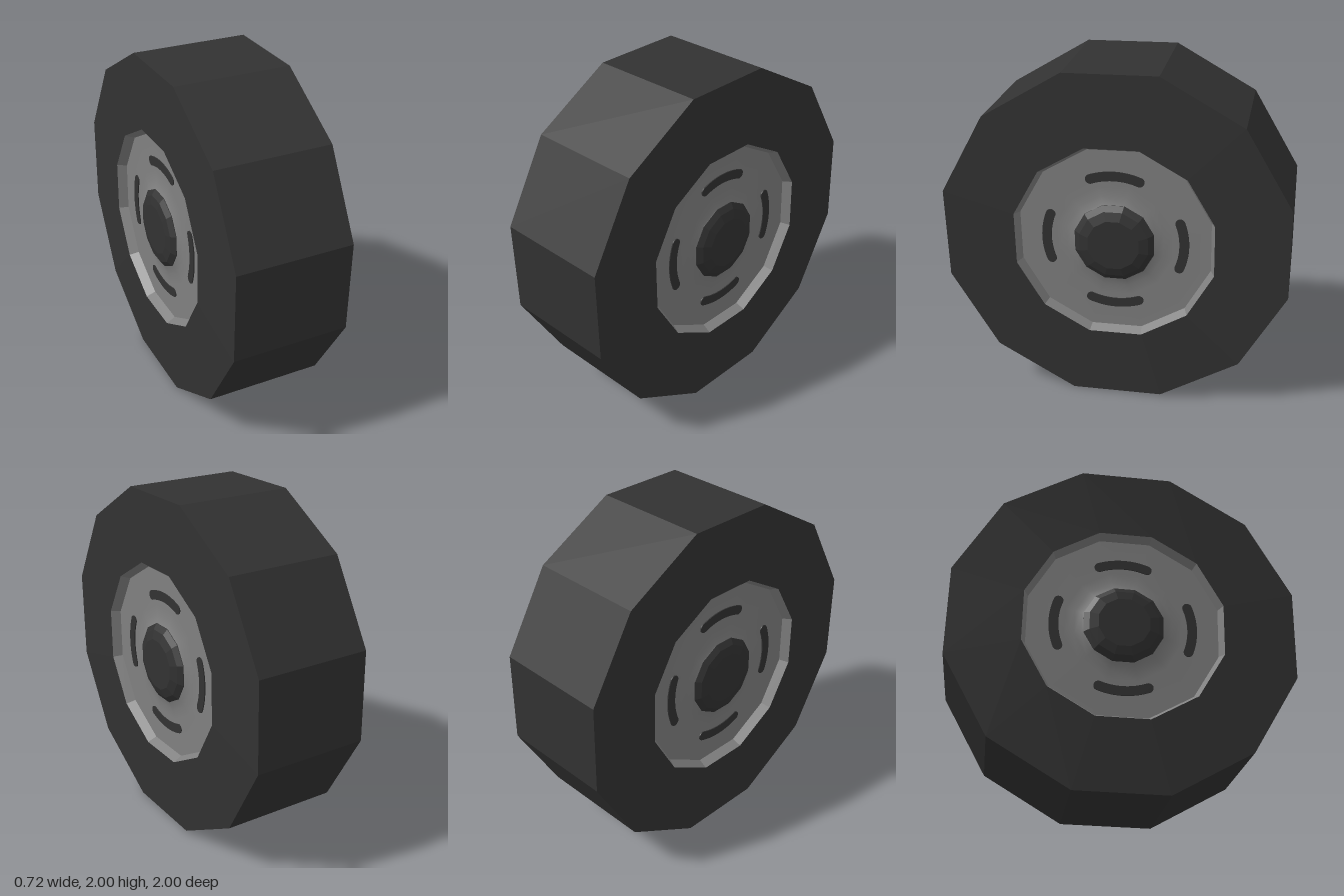
import * as THREE from 'three';

const SIDES = 12;

// Turn a profile of [radius, x] points around the x axis; phase is in degrees.
function turn(profile, phase, flat) {
  const pts = profile.map(([r, x]) => new THREE.Vector2(r, x));
  let g = new THREE.LatheGeometry(pts, SIDES, THREE.MathUtils.degToRad(phase), Math.PI * 2);
  g.rotateZ(-Math.PI / 2);
  if (flat) {
    g = g.toNonIndexed();
    g.computeVertexNormals();
  }
  return g;
}

// Curved slot with rounded ends, centred on the top of the wheel.
function slotShape() {
  const r = 0.4, h = 0.028, half = 0.36, mid = Math.PI / 2;
  const a = mid - half, b = mid + half;
  const s = new THREE.Shape();
  s.absarc(0, 0, r + h, a, b, false);
  s.absarc(r * Math.cos(b), r * Math.sin(b), h, b, b + Math.PI, false);
  s.absarc(0, 0, r - h, b, a, true);
  s.absarc(r * Math.cos(a), r * Math.sin(a), h, a + Math.PI, a + Math.PI * 2, false);
  return s;
}

export function createModel() {
  const rubber = new THREE.MeshStandardMaterial({ color: 0x323232 });
  rubber.name = 'darkRubber';
  const metal = new THREE.MeshStandardMaterial({ color: 0x808080 });
  metal.name = 'greyMetal';

  const wheel = new THREE.Group();
  wheel.name = 'wheel';
  wheel.position.set(-0.005, 1, 0);

  const add = (parent, name, geometry, material) => {
    const m = new THREE.Mesh(geometry, material);
    m.name = name;
    parent.add(m);
    return m;
  };

  // Tyre: flat tread with very slightly bulging walls
  add(wheel, 'tyre', turn([[0.597, -0.355], [1.03, -0.345], [1.03, 0.345], [0.597, 0.355]], 16, true), rubber);

  const slotGeometry = new THREE.ExtrudeGeometry(slotShape(), { depth: 0.008, bevelEnabled: false, curveSegments: 10 });
  slotGeometry.rotateY(Math.PI / 2);

  // Same rim on both faces; the phase keeps the corners in line with the tyre
  for (const [name, phase, turnY, cap] of [['leftRim', 16, 0, 0.363], ['rightRim', 14, Math.PI, 0.355]]) {
    const rim = new THREE.Group();
    rim.name = name;
    rim.rotation.y = turnY;
    wheel.add(rim);

    // Recessed lip and dished disc rising to the hub
    add(rim, 'rimLip', turn([[0.597, 0.355], [0.572, 0.3]], phase, true), metal);
    add(rim, 'rimDisc', turn([[0.572, 0.3], [0.35, 0.3], [0.29, 0.305], [0.25, 0.314], [0.225, 0.324]], phase, false), metal);

    // Hub with bevelled edge and flat cap
    add(rim, 'hub', turn([[0.238, 0.3], [0.238, 0.322], [0.205, 0.345], [0.152, cap], [0, cap]], phase, true), rubber);

    // Four vent slots
    for (let i = 0; i < 4; i++) {
      const slot = add(rim, 'ventSlot', slotGeometry, rubber);
      slot.position.x = 0.298;
      slot.rotation.x = i * Math.PI / 2;
    }
  }

  const model = new THREE.Group();
  model.name = 'model';
  model.add(wheel);
  return model;
}
